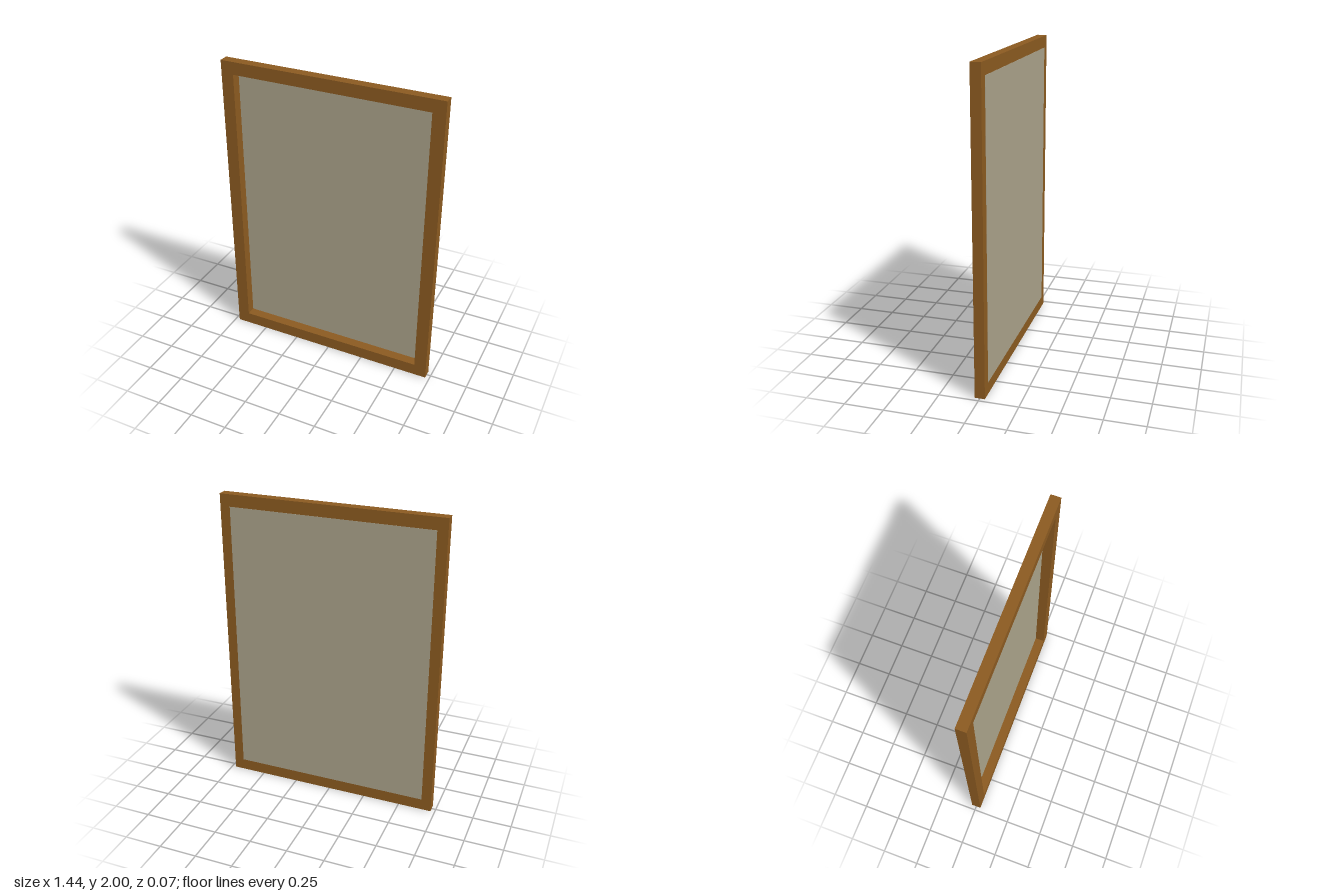
import * as THREE from 'three';

const W = 1.444, H = 2, D = 0.064, BORDER = 0.082;

// Axis-aligned rectangle centred on (0, H / 2)
function rectangle(Type, w, h) {
  const x = w / 2, y0 = (H - h) / 2, y1 = (H + h) / 2;
  return new Type([[-x, y0], [x, y0], [x, y1], [-x, y1]].map(([a, b]) => new THREE.Vector2(a, b)));
}

export function createModel() {
  const model = new THREE.Group();
  model.name = 'framedPanel';

  // Wooden frame: rectangular border with an open middle
  const outline = rectangle(THREE.Shape, W, H);
  outline.holes.push(rectangle(THREE.Path, W - 2 * BORDER, H - 2 * BORDER));
  const frame = new THREE.Mesh(
    new THREE.ExtrudeGeometry(outline, { depth: D, bevelEnabled: false }).translate(0, 0, -D / 2),
    new THREE.MeshStandardMaterial({ color: 0x8b5a20 })
  );
  frame.name = 'frame';
  model.add(frame);

  // Thin panel at the back, lapping slightly over the side stiles
  const panel = new THREE.Mesh(
    new THREE.BoxGeometry(1.314, H - 2 * BORDER + 0.008, 0.002),
    new THREE.MeshStandardMaterial({ color: 0xaaa28a })
  );
  panel.name = 'backPanel';
  panel.position.set(0, H / 2, -D / 2 - 0.0002);
  model.add(panel);

  return model;
}
